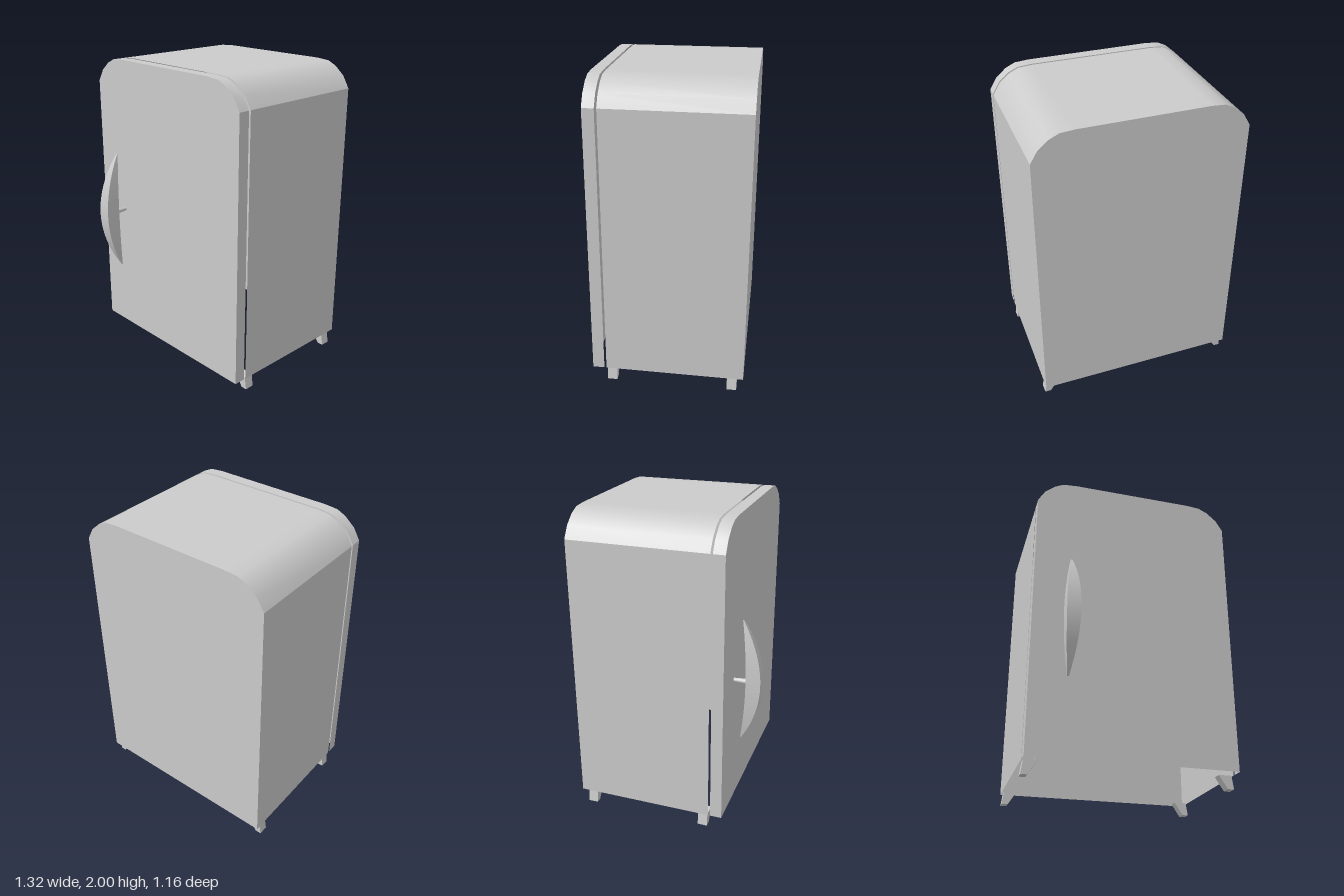
import * as THREE from 'three';

const mat = new THREE.MeshStandardMaterial({ color: 0xcccccc, side: THREE.DoubleSide });
const flatMat = new THREE.MeshStandardMaterial({ color: 0xcccccc, side: THREE.DoubleSide, flatShading: true });

const BOTTOM = 0.085;
const CORNER = [[0.66, 1.835], [0.615, 1.91], [0.55, 1.965], [0.49, 1.993], [0.4, 2]];

function add(parent, name, geometry, material = mat) {
  const mesh = new THREE.Mesh(geometry, material);
  mesh.name = name;
  parent.add(mesh);
  return mesh;
}

// Sheet that sweeps an xy polyline from zBack to zFront
function strip(points, zBack, zFront) {
  const n = points.length;
  const geo = new THREE.PlaneGeometry(1, 1, n - 1, 1);
  const pos = geo.attributes.position;
  for (let i = 0; i < pos.count; i++) {
    const [x, y] = points[i % n];
    pos.setXYZ(i, x, y, i < n ? zBack : zFront);
  }
  geo.computeVertexNormals();
  return geo;
}

// Arched outline from left to right, optionally narrowed and lowered
function archPoints(scaleX = 1, drop = 0) {
  const half = CORNER.map(([x, y], i) => [x * scaleX, i ? y - drop : y]);
  return [...half.map(([x, y]) => [-x, y]), ...half.slice().reverse()];
}

// Open-bottomed shell: smooth arched top and two flat sides
function shell(name, points, zBack, zFront) {
  const group = new THREE.Group();
  group.name = name;
  const first = points[0], last = points[points.length - 1];
  add(group, name + 'Top', strip(points, zBack, zFront));
  add(group, name + 'RightSide', strip([[first[0], BOTTOM], first], zBack, zFront));
  add(group, name + 'LeftSide', strip([last, [last[0], BOTTOM]], zBack, zFront));
  return group;
}

// Flat arched panel facing +z
function panel(points) {
  const outline = [[points[0][0], BOTTOM], ...points, [-points[0][0], BOTTOM]];
  return new THREE.ShapeGeometry(new THREE.Shape(outline.map(([x, y]) => new THREE.Vector2(x, y))));
}

// Crescent grip: rectangular sections that taper towards both tips
function gripGeometry() {
  const steps = 20;
  const geo = new THREE.BoxGeometry(1, 2, 1, 1, steps, 1);
  const pos = geo.attributes.position;
  for (let i = 0; i < pos.count; i++) {
    const t = pos.getY(i), t2 = t * t;
    const width = 0.012 + 0.076 * (1 - t2);
    const z = pos.getZ(i) > 0 ? 0.583 - 0.123 * t2 : 0.49 - 0.036 * t2;
    pos.setXYZ(i, -0.432 + pos.getX(i) * width, 0.972 + t * 0.402, z);
  }
  geo.computeVertexNormals();
  return geo;
}

// Splayed foot: a block whose lower end is narrower and pushed outwards
function footGeometry(side, z) {
  const geo = new THREE.BoxGeometry(1, 1, 0.063);
  const pos = geo.attributes.position;
  for (let i = 0; i < pos.count; i++) {
    const top = pos.getY(i) > 0;
    const outer = pos.getX(i) * side > 0;
    const x = top ? (outer ? 0.648 : 0.565) : (outer ? 0.66 : 0.62);
    pos.setXYZ(i, side * x, top ? BOTTOM : 0, z + pos.getZ(i));
  }
  geo.computeVertexNormals();
  return geo;
}

export function createModel() {
  const model = new THREE.Group();
  model.name = 'refrigerator';
  const arch = archPoints();

  // Cabinet with closed back
  const cabinet = shell('cabinet', arch, -0.58, 0.316);
  add(cabinet, 'backPanel', panel(arch)).position.z = -0.58;
  cabinet.getObjectByName('backPanel').rotation.y = Math.PI;
  model.add(cabinet);

  // Recessed seal between cabinet and door
  model.add(shell('seal', archPoints(0.886, 0.025), 0.316, 0.33));

  // Door
  const door = shell('door', arch, 0.33, 0.405);
  add(door, 'doorFront', panel(arch)).position.z = 0.405;
  model.add(door);

  // Handle: crescent grip on a short flared stem
  const handle = new THREE.Group();
  handle.name = 'handle';
  add(handle, 'grip', gripGeometry());
  const stem = add(handle, 'stem', new THREE.CylinderGeometry(0.019, 0.013, 0.09, 8));
  stem.rotation.x = Math.PI / 2;
  stem.position.set(-0.434, 0.972, 0.448);
  model.add(handle);

  // Feet
  for (const side of [-1, 1]) {
    for (const z of [0.277, -0.507]) {
      add(model, (z > 0 ? 'front' : 'back') + (side > 0 ? 'Left' : 'Right') + 'Foot', footGeometry(side, z), flatMat);
    }
  }
  return model;
}
